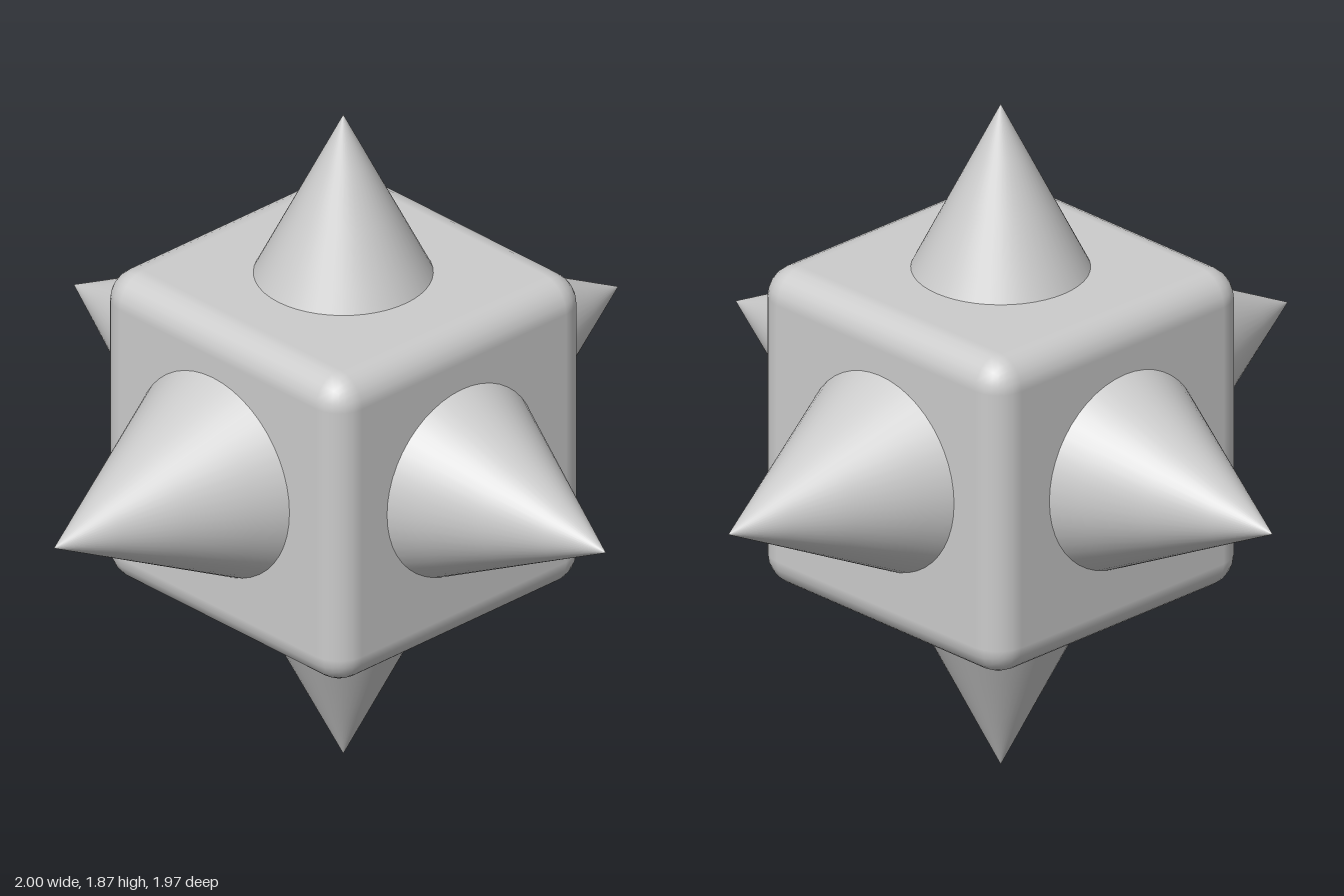
import * as THREE from 'three';
import { RoundedBoxGeometry } from 'three/addons/geometries/RoundedBoxGeometry.js';

const SLOPE = 0.5; // cone radius per unit of height
const SINK = 0.08; // depth of each cone base inside the body

export function createModel() {
  const model = new THREE.Group();
  const material = new THREE.MeshStandardMaterial({ color: 0xcccccc });

  // Cube body with rounded edges
  const size = 0.893;
  const center = new THREE.Vector3(0.011, 0.96, 0.003);
  const body = new THREE.Mesh(new RoundedBoxGeometry(size, size, size, 3, 0.085), material);
  body.name = 'body';
  body.position.copy(center);
  model.add(body);

  // One spike per face: name, outward direction, tip position
  const spikes = [
    ['topSpike', [0, 1, 0], [0.011, 1.867, 0.003]],
    ['bottomSpike', [0, -1, 0], [0.01, 0, 0.004]],
    ['leftSpike', [1, 0, 0], [1, 0.979, -0.012]],
    ['rightSpike', [-1, 0, 0], [-1, 0.98, -0.013]],
    ['frontSpike', [0, 0, 1], [0.003, 0.979, 0.981]],
    ['backSpike', [0, 0, -1], [0.003, 0.979, -0.984]],
  ];
  const up = new THREE.Vector3(0, 1, 0);
  for (const [name, dir, tip] of spikes) {
    const direction = new THREE.Vector3(...dir);
    const tipPoint = new THREE.Vector3(...tip);
    const height = tipPoint.clone().sub(center).dot(direction) - size / 2 + SINK;
    const geometry = new THREE.ConeGeometry(height * SLOPE, height, 48, 4);
    geometry.translate(0, -height / 2, 0); // tip at the origin
    const spike = new THREE.Mesh(geometry, material);
    spike.name = name;
    spike.quaternion.setFromUnitVectors(up, direction);
    spike.position.copy(tipPoint);
    model.add(spike);
  }
  return model;
}
